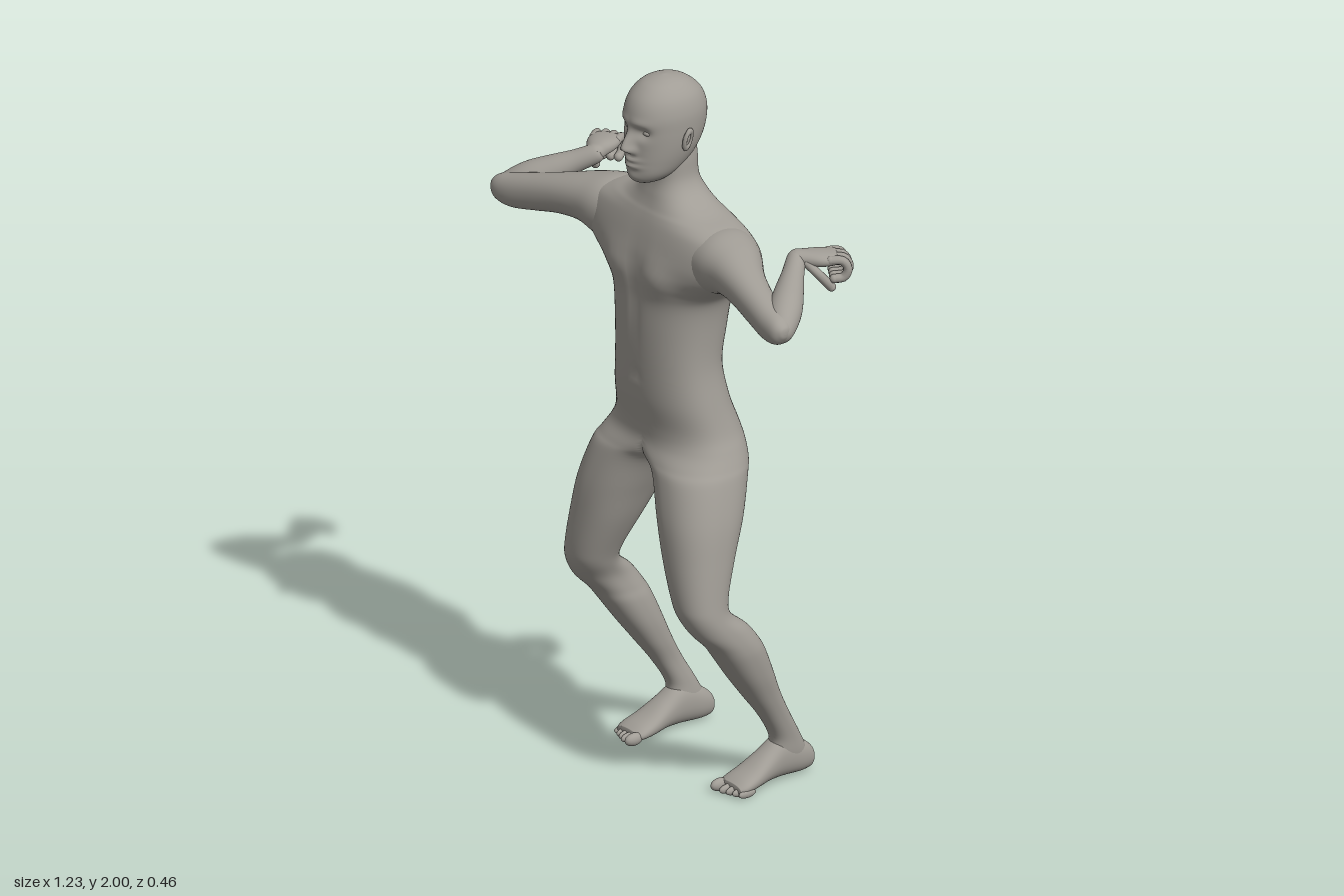
import * as THREE from 'three';
import { mergeGeometries } from 'three/addons/utils/BufferGeometryUtils.js';

const skin = new THREE.MeshStandardMaterial({ color: 0xa19d96 });
skin.name = 'grey skin';

const bell = (d, w) => Math.exp(-(d * d) / (w * w));

// Smooth interpolation through section rows
function spline(rows, sub) {
  const out = [], last = rows.length - 1;
  for (let i = 0; i < last; i++) {
    const [a, b, c, d] = [-1, 0, 1, 2].map(k => rows[Math.min(last, Math.max(0, i + k))]);
    for (let j = 0; j < sub; j++) {
      const t = j / sub;
      out.push(b.map((_, k) => 0.5 * (2 * b[k] + (c[k] - a[k]) * t
        + (2 * a[k] - 5 * b[k] + 4 * c[k] - d[k]) * t * t
        + (3 * b[k] - a[k] - 3 * c[k] + d[k]) * t * t * t)));
    }
  }
  out.push(rows[last]);
  return out;
}

// Closed skin over ascending rows [position, min, max, min, max] along the axis;
// power sets how square the sections are, shape moves each vertex by a rule,
// half cuts the skin open at x = 0 so that its mirror image joins smoothly
function loft(axis, rows, { power = 2.2, sides = 40, sub = 6, shape, half = false } = {}) {
  const secs = spline(rows, sub), pos = [], idx = [];
  const place = { x: (t, a, b) => [t, a, b], y: (t, a, b) => [a, t, b], z: (t, a, b) => [a, b, t] }[axis];
  const add = (t, a, b) => {
    const p = new THREE.Vector3(...place(t, a, b));
    if (half && p.x < 1e-4) p.x = 0;
    if (shape) shape(p);
    pos.push(p.x, p.y, p.z);
  };
  const round = v => Math.sign(v) * Math.abs(v) ** (2 / power);
  for (const [t, a0, a1, b0, b1] of secs) {
    for (let i = 0; i < sides; i++) {
      const q = (i / sides) * Math.PI * 2;
      add(t, (a0 + a1) / 2 + round(Math.cos(q)) * (a1 - a0) / 2,
        (b0 + b1) / 2 + round(Math.sin(q)) * (b1 - b0) / 2);
    }
  }
  const n = secs.length;
  const tri = (a, b, c) => {
    if (half && !pos[a * 3] && !pos[b * 3] && !pos[c * 3]) return;
    if (axis === 'y') idx.push(a, c, b); else idx.push(a, b, c);
  };
  for (let r = 0; r < n - 1; r++) {
    for (let i = 0; i < sides; i++) {
      const a = r * sides + i, b = r * sides + (i + 1) % sides;
      tri(a, b, b + sides);
      tri(a, b + sides, a + sides);
    }
  }
  for (const r of [0, n - 1]) {
    const [t, a0, a1, b0, b1] = secs[r], centre = pos.length / 3;
    add(t, (a0 + a1) / 2, (b0 + b1) / 2);
    for (let i = 0; i < sides; i++) {
      const a = r * sides + i, b = r * sides + (i + 1) % sides;
      if (r) tri(centre, a, b); else tri(centre, b, a);
    }
  }
  const g = new THREE.BufferGeometry();
  g.setAttribute('position', new THREE.Float32BufferAttribute(pos, 3));
  g.setIndex(idx);
  g.computeVertexNormals();
  if (half) {
    for (let i = 0; i < pos.length / 3; i++) if (!pos[i * 3]) g.attributes.normal.setX(i, 0);
    g.normalizeNormals();
  }
  return g;
}

function ellipsoid(x, y, z, rx, ry, rz) {
  return new THREE.SphereGeometry(1, 20, 14).scale(rx, ry, rz).translate(x, y, z);
}

// Round-ended bent tube for a finger
function finger(points, r) {
  const curve = new THREE.CatmullRomCurve3(points);
  const ends = [points[0], points[points.length - 1]];
  return mergeGeometries([new THREE.TubeGeometry(curve, 14, r, 10),
    ...ends.map(p => ellipsoid(p.x, p.y, p.z, r, r, r))]);
}

function mirrored(geo) {
  const g = geo.clone().scale(-1, 1, 1), ix = g.index;
  for (let i = 0; i < ix.count; i += 3) {
    const b = ix.getX(i + 1);
    ix.setX(i + 1, ix.getX(i + 2));
    ix.setX(i + 2, b);
  }
  return g;
}

export function createModel() {
  const model = new THREE.Group();
  model.name = 'human figure';
  const add = (name, geo) => {
    const m = new THREE.Mesh(geo, skin);
    m.name = name;
    model.add(m);
  };
  const pair = (name, geo) => {
    add('left ' + name, geo);
    add('right ' + name, mirrored(geo));
  };

  // Leg up to the crotch: [y, inner, outer, back, front]
  const leg = [[0.04, 0.187, 0.243, -0.208, -0.125], [0.08, 0.182, 0.25, -0.203, -0.095],
    [0.13, 0.186, 0.254, -0.178, -0.094], [0.2, 0.19, 0.265, -0.138, -0.053], [0.27, 0.182, 0.28, -0.102, 0],
    [0.34, 0.176, 0.297, -0.072, 0.053], [0.41, 0.177, 0.309, -0.042, 0.103], [0.45, 0.183, 0.312, -0.02, 0.133],
    [0.5, 0.184, 0.31, 0.018, 0.182], [0.55, 0.167, 0.305, 0.073, 0.21], [0.6, 0.147, 0.299, 0.074, 0.218],
    [0.7, 0.1, 0.288, 0.035, 0.217], [0.8, 0.058, 0.275, -0.01, 0.21], [0.9, 0.006, 0.25, -0.05, 0.19],
    [0.935, -0.06, 0.235, -0.071, 0.177], [0.975, -0.15, 0.216, -0.083, 0.163]];
  // Torso, shoulders and neck: [y, half width, back, front]
  const torso = [[1.02, 0.197, -0.081, 0.165], [1.1, 0.18, -0.054, 0.178], [1.2, 0.165, -0.038, 0.184],
    [1.3, 0.167, -0.055, 0.187], [1.38, 0.178, -0.066, 0.187], [1.42, 0.2, -0.069, 0.188],
    [1.45, 0.24, -0.07, 0.188], [1.485, 0.295, -0.069, 0.186], [1.52, 0.325, -0.066, 0.182],
    [1.56, 0.33, -0.06, 0.173], [1.595, 0.295, -0.05, 0.163], [1.62, 0.22, -0.042, 0.154],
    [1.638, 0.155, -0.034, 0.146], [1.668, 0.1, -0.021, 0.137], [1.71, 0.07, -0.005, 0.128],
    [1.77, 0.065, -0.002, 0.13], [1.82, 0.06, 0.005, 0.12]].map(([y, w, b, f]) => [y, -w, w, b, f]);
  const side = loft('y', [...leg, ...torso], {
    power: 2.28, sides: 72, half: true, shape: p => {
      if (p.z > 0.1) {
        p.z += 0.012 * bell(p.x - 0.085, 0.055) * bell(p.y - 1.46, 0.05); // chest
        p.z -= 0.007 * bell(p.x, 0.015) * bell(p.y - 1.42, 0.13);
        p.z -= 0.007 * bell(p.x, 0.009) * bell(p.y - 1.17, 0.012); // navel
      } else if (p.z < 0.02) {
        p.z += 0.016 * bell(p.x, 0.025) * bell(p.y - 1.32, 0.22); // spine
        p.z += 0.035 * bell(p.x, 0.016) * bell(p.y - 0.97, 0.065); // seat cleft
        p.z -= 0.01 * bell(p.x - 0.1, 0.045) * bell(p.y - 1.47, 0.07); // shoulder blades
      }
    }
  });
  add('torso and legs', mergeGeometries([side, mirrored(side)]));

  // Head with modelled face
  const head = [[1.712, 0.018, 0.12, 0.17], [1.722, 0.04, 0.085, 0.188], [1.745, 0.061, 0.05, 0.197],
    [1.78, 0.076, 0.012, 0.199], [1.82, 0.086, -0.015, 0.2], [1.865, 0.091, -0.03, 0.202],
    [1.91, 0.091, -0.031, 0.201], [1.95, 0.08, -0.015, 0.186], [1.98, 0.057, 0.018, 0.157],
    [1.994, 0.032, 0.05, 0.125], [2, 0.004, 0.084, 0.094]].map(([y, w, b, f]) => [y, -w, w, b, f]);
  add('head', loft('y', head, {
    power: 2.1, sides: 112, sub: 9, shape: p => {
      if (p.z < 0.1) return;
      const ax = Math.abs(p.x), n = p.y - 1.822;
      p.z -= 0.013 * bell(ax - 0.036, 0.02) * bell(p.y - 1.866, 0.016); // eye sockets
      p.z += 0.004 * bell(ax - 0.03, 0.03) * bell(p.y - 1.893, 0.012); // brows
      p.z += 0.03 * bell(p.x, 0.015) * bell(n, n > 0 ? 0.034 : 0.014); // nose
      p.z += 0.012 * bell(ax - 0.014, 0.01) * bell(p.y - 1.815, 0.012); // nostrils
      p.z += 0.011 * bell(ax, 0.026) * (bell(p.y - 1.787, 0.008) + bell(p.y - 1.769, 0.008)); // lips
      p.z += 0.005 * bell(ax, 0.025) * bell(p.y - 1.735, 0.014); // chin
    }
  }));
  pair('eye', ellipsoid(0.036, 1.865, 0.172, 0.017, 0.009, 0.012));
  const ear = mergeGeometries([
    new THREE.TorusGeometry(0.016, 0.0065, 8, 24).scale(0.8, 1.5, 1).rotateY(Math.PI / 2),
    ellipsoid(-0.004, 0, 0, 0.007, 0.026, 0.015)]);
  pair('ear', ear.rotateZ(-0.12).rotateY(0.3).rotateX(-0.15).translate(0.094, 1.842, 0.083));

  // Foot: [z, inner, outer, bottom, top]
  pair('foot', loft('z', [[-0.234, 0.2, 0.224, 0.03, 0.052], [-0.224, 0.188, 0.236, 0.011, 0.073],
    [-0.19, 0.18, 0.246, 0.006, 0.1], [-0.15, 0.178, 0.25, 0.008, 0.122], [-0.115, 0.177, 0.253, 0.01, 0.124],
    [-0.07, 0.174, 0.259, 0.01, 0.095], [-0.02, 0.168, 0.267, 0.005, 0.064], [0.02, 0.167, 0.27, 0.004, 0.045],
    [0.04, 0.175, 0.262, 0.008, 0.034]]));
  for (let i = 0; i < 5; i++) {
    const r = i ? 0.0105 - i * 0.0005 : 0.0145;
    pair('toe ' + (i + 1), ellipsoid(i ? 0.19 + i * 0.0185 : 0.182, r + 0.004, 0.047 - i * 0.007, r, r + 0.003, 0.028));
  }

  // Upper arm: [x, bottom, top, back, front]
  pair('upper arm', loft('x', [[0.12, 1.48, 1.58, -0.01, 0.12], [0.17, 1.452, 1.61, -0.035, 0.15],
    [0.23, 1.45, 1.622, -0.034, 0.161], [0.3, 1.472, 1.61, -0.002, 0.163],
    [0.38, 1.474, 1.588, 0.05, 0.172], [0.46, 1.46, 1.565, 0.085, 0.184], [0.54, 1.446, 1.542, 0.11, 0.196],
    [0.59, 1.453, 1.528, 0.128, 0.197], [0.612, 1.475, 1.512, 0.148, 0.185],
    [0.617, 1.49, 1.5, 0.162, 0.172]]));

  // Forearm folded back from the elbow
  const elbow = new THREE.Vector3(0.582, 1.487, 0.158), wrist = new THREE.Vector3(0.425, 1.592, -0.018);
  const along = wrist.clone().sub(elbow), len = along.length();
  const forearm = loft('y', [[-0.03, 0.012], [-0.015, 0.032], [0.03, 0.044], [0.08, 0.047],
    [0.14, 0.04], [0.2, 0.031], [len, 0.026], [len + 0.015, 0.018]]
    .map(([t, r]) => [t, -r, r, -r * 0.95, r * 0.95]), { power: 2 });
  forearm.applyQuaternion(new THREE.Quaternion().setFromUnitVectors(new THREE.Vector3(0, 1, 0), along.normalize()));
  pair('forearm', forearm.translate(...elbow.toArray()));

  // Hand, in local space: fingers toward -z, thumb on +x, palm down
  const toHand = new THREE.Matrix4().makeRotationY(-0.58).setPosition(0.427, 1.595, -0.018);
  const V = (x, y, z) => new THREE.Vector3(x, y, z);
  pair('palm', loft('z', [[-0.108, -0.034, 0.036, -0.008, 0.008], [-0.098, -0.041, 0.043, -0.017, 0.016],
    [-0.06, -0.04, 0.044, -0.022, 0.02], [-0.02, -0.029, 0.032, -0.022, 0.021], [0.005, -0.024, 0.025, -0.021, 0.021],
    [0.018, -0.016, 0.016, -0.014, 0.014]]).applyMatrix4(toHand));
  for (let i = 0; i < 4; i++) {
    const x = -0.031 + i * 0.0215, reach = [0, 0.007, 0.009, 0.004][i];
    pair('finger ' + (i + 1), finger([V(x, 0.002, -0.085), V(x * 1.05, 0, -0.114 - reach),
      V(x * 1.05, -0.022, -0.127 - reach), V(x, -0.046, -0.116 - reach), V(x, -0.05, -0.095)], 0.0122)
      .applyMatrix4(toHand));
  }
  pair('thumb', finger([V(0.024, -0.008, -0.025), V(0.038, -0.03, -0.05), V(0.036, -0.055, -0.072),
    V(0.03, -0.075, -0.088)], 0.0122).applyMatrix4(toHand));

  return model;
}
